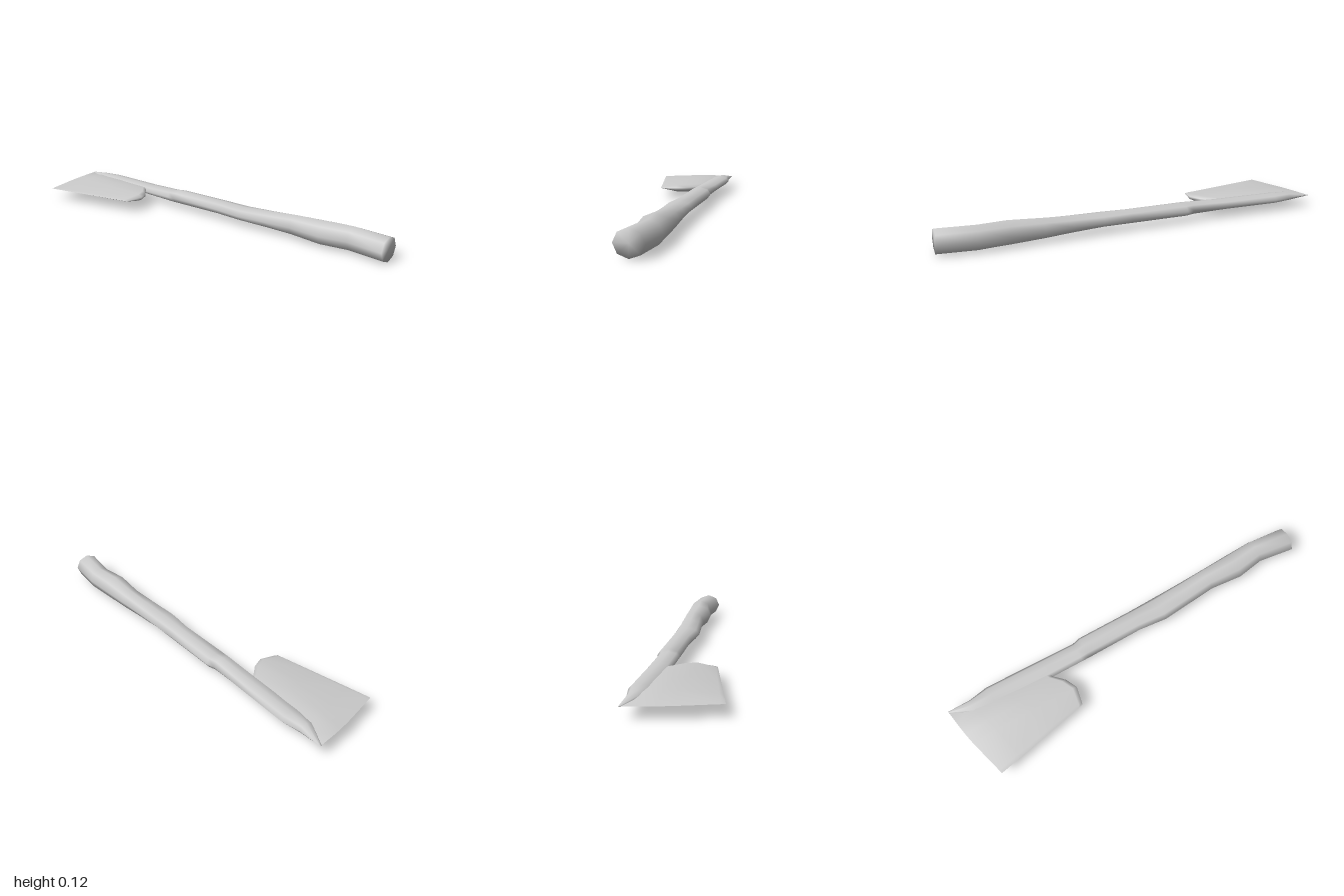
import * as THREE from 'three';

const MID_Y = 0.061;
const material = new THREE.MeshStandardMaterial({ color: 0xcccccc });

// Skin a list of closed rings, with a fan cap at both ends
function loft(rings) {
  const n = rings[0].length;
  const position = rings.flat(2);
  const index = [];
  for (let i = 0; i < rings.length - 1; i++) {
    for (let j = 0; j < n; j++) {
      const a = i * n + j, b = i * n + (j + 1) % n;
      index.push(a, a + n, b, b, a + n, b + n);
    }
  }
  [0, rings.length - 1].forEach((r) => {
    const centre = position.length / 3;
    for (let k = 0; k < 3; k++) position.push(rings[r].reduce((s, p) => s + p[k], 0) / n);
    for (let j = 0; j < n; j++) {
      const a = r * n + j, b = r * n + (j + 1) % n;
      index.push(centre, ...(r === 0 ? [a, b] : [b, a]));
    }
  });
  const geometry = new THREE.BufferGeometry();
  geometry.setAttribute('position', new THREE.Float32BufferAttribute(position, 3));
  geometry.setIndex(index);
  geometry.computeVertexNormals();
  return geometry;
}

// Eight-sided handle: z, left x, right x, half height
function handleGeometry() {
  const sections = [
    [1.0, 0.085, 0.22, 0.061],
    [0.81, 0.11, 0.235, 0.061],
    [0.67, 0.085, 0.228, 0.06],
    [0.5, 0.1, 0.218, 0.051],
    [0.36, 0.086, 0.211, 0.041],
    [0.2, 0.07, 0.205, 0.033],
    [0.05, 0.085, 0.2, 0.034],
    [-0.25, 0.08, 0.198, 0.034],
    [-0.29, 0.08, 0.186, 0.032],
    [-0.47, 0.08, 0.19, 0.025],
    [-0.78, 0.085, 0.195, 0.025],
    [-0.88, 0.1, 0.176, 0.023],
    [-1.0, 0.165, 0.175, 0.001],
  ];
  return loft(sections.map(([z, left, right, h]) =>
    Array.from({ length: 8 }, (_, j) => {
      const t = (j / 8) * Math.PI * 2;
      return [(left + right) / 2 + Math.cos(t) * (right - left) / 2, MID_Y + Math.sin(t) * h, z];
    })));
}

// Wedge blade, from inside the handle to the cutting edge:
// back x, back z, front x, front z, half thickness
function bladeGeometry() {
  const sections = [
    [0.175, -1.0, 0.14, -0.48, 0.01],
    [0.08, -0.984, 0.08, -0.46, 0.022],
    [0.03, -0.974, 0.03, -0.41, 0.022],
    [-0.03, -0.96, -0.03, -0.38, 0.021],
    [-0.215, -0.906, -0.113, -0.395, 0.006],
    [-0.235, -0.9, -0.125, -0.4, 0],
  ];
  // Thickness along the section: sharp back rim, flat cheek, thin front rim
  const profile = [[0, 0], [0.22, 1], [0.55, 1], [0.96, 0.85], [1, 0.3]];
  return loft(sections.map(([bx, bz, fx, fz, h]) => {
    const side = (sign) => profile.map(([s, k]) =>
      [bx + (fx - bx) * s, MID_Y + sign * k * h, bz + (fz - bz) * s]);
    return [...side(1), ...side(-1).reverse()];
  }));
}

export function createModel() {
  const group = new THREE.Group();
  group.name = 'axe';
  const parts = { handle: handleGeometry(), blade: bladeGeometry() };
  for (const [name, geometry] of Object.entries(parts)) {
    const mesh = new THREE.Mesh(geometry, material);
    mesh.name = name;
    group.add(mesh);
  }
  return group;
}
